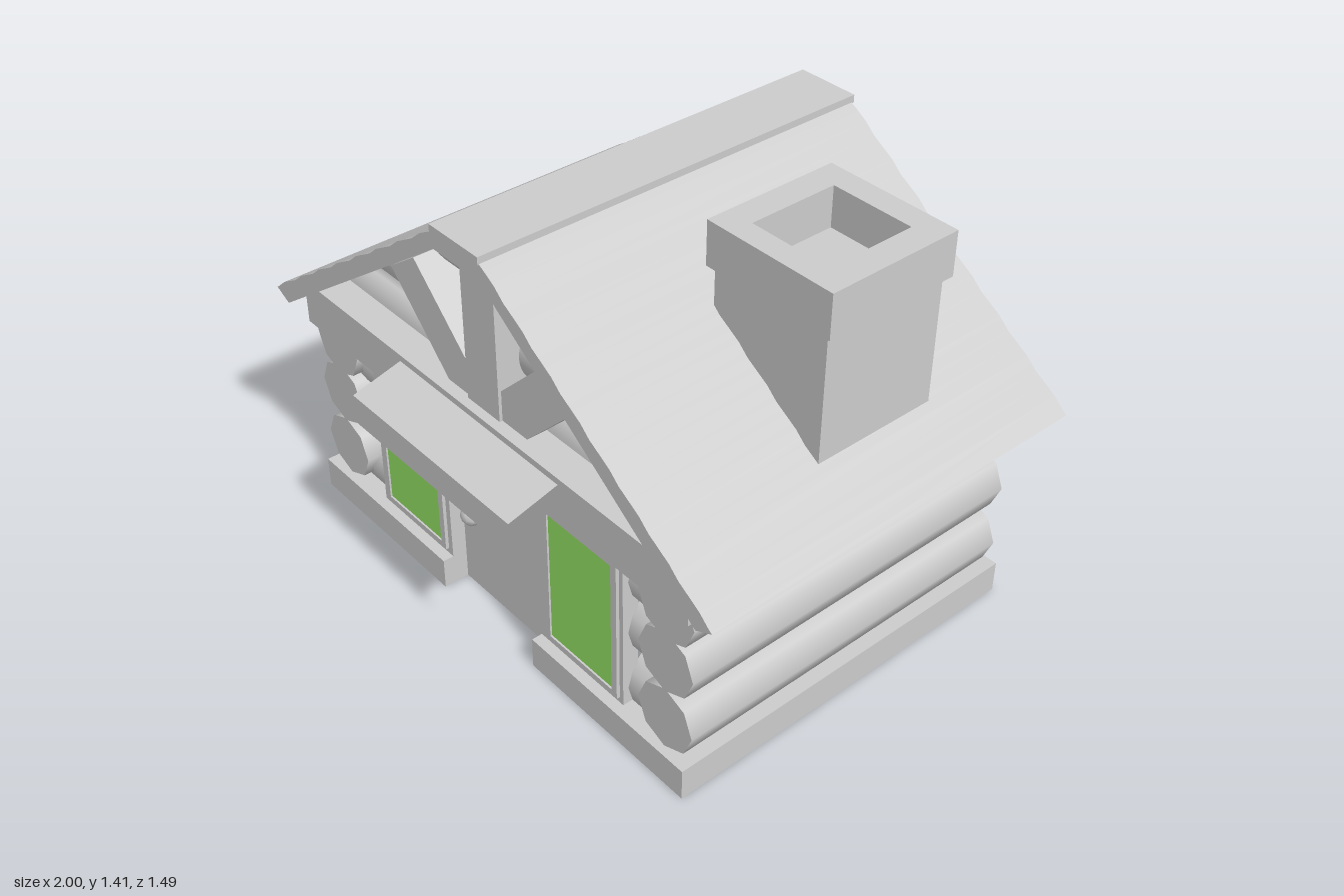
import * as THREE from 'three';
import { toCreasedNormals } from 'three/addons/utils/BufferGeometryUtils.js';

const timber = new THREE.MeshStandardMaterial({ color: 0xcccccc });
timber.name = 'plainGrey';
const timberSheet = timber.clone();
timberSheet.side = THREE.DoubleSide;
timberSheet.name = 'plainGreySheet';
const glass = new THREE.MeshStandardMaterial({ color: 0x9aea67, side: THREE.DoubleSide });
glass.name = 'greenGlass';

// Underside of the roof: half width at a given height
const halfWidthAt = (y) => 0.94 - (y - 0.7) * 1.4;

export function createModel() {
  const group = new THREE.Group();
  group.name = 'logCabin';

  const add = (name, geometry, material = timber) => {
    const mesh = new THREE.Mesh(geometry, material);
    mesh.name = name;
    group.add(mesh);
    return mesh;
  };
  // Box given by its limits
  const box = (name, x0, x1, y0, y1, z0, z1, material) => {
    const mesh = add(name, new THREE.BoxGeometry(x1 - x0, y1 - y0, z1 - z0), material);
    mesh.position.set((x0 + x1) / 2, (y0 + y1) / 2, (z0 + z1) / 2);
    return mesh;
  };
  // Outline in x and y, extruded from z0 to z1
  const prism = (name, points, z0, z1, hole) => {
    const shape = new THREE.Shape(points.map(([x, y]) => new THREE.Vector2(x, y)));
    if (hole) shape.holes.push(new THREE.Path(hole.map(([x, y]) => new THREE.Vector2(x, y))));
    const geometry = new THREE.ExtrudeGeometry(shape, { depth: z1 - z0, bevelEnabled: false });
    geometry.translate(0, 0, z0);
    return add(name, geometry);
  };
  const mirrored = (points) => [...points, ...points.map(([x, y]) => [-x, y]).reverse()];

  // Footing: thin hollow skirt with a ledge on top and a gap for the door
  box('footingBack', -0.875, 0.87, 0, 0.105, -0.7, -0.685);
  box('footingBackLedge', -0.86, 0.855, 0.09, 0.105, -0.685, -0.62);
  for (const s of [-1, 1]) {
    const outer = s < 0 ? 0.875 : 0.87;
    const inner = s < 0 ? 0.225 : 0.215;
    const span = (a, b) => (s < 0 ? [-b, -a] : [a, b]);
    box('footingSide', ...span(outer - 0.015, outer), 0, 0.105, -0.685, 0.56);
    box('footingSideLedge', ...span(0.76, outer - 0.015), 0.09, 0.105, -0.62, 0.45);
    box('footingFront', ...span(inner, outer), 0, 0.105, 0.56, 0.575);
    box('footingFrontLedge', ...span(inner, outer - 0.015), 0.09, 0.105, 0.4, 0.56);
    box('footingDoorReturn', ...span(inner, inner + 0.015), 0, 0.09, 0.4, 0.56);
  }

  // Log walls: full side logs, short front logs set half a course apart
  for (const y of [0.215, 0.425, 0.61]) {
    for (const s of [-1, 1]) {
      const side = add('sideLog', new THREE.CylinderGeometry(0.109, 0.109, 1.21, 8));
      side.rotation.x = Math.PI / 2;
      side.position.set(s * 0.768, y, -0.055);
      const front = add('frontLog', new THREE.CylinderGeometry(0.11, 0.11, 0.19, 12));
      front.rotation.z = Math.PI / 2;
      front.position.set(s * 0.67, y - 0.055, 0.41);
    }
  }

  // Flat back wall reaching up under the roof
  prism('backWall', mirrored([[0.77, 0.1], [0.77, 0.815], [0.1, 1.3]]), -0.66, -0.62);

  // Front gable: stacked logs as one ribbed sheet
  const gable = new THREE.PlaneGeometry(2, 0.5, 1, 40);
  const p = gable.attributes.position;
  for (let i = 0; i < p.count; i++) {
    const y = p.getY(i) + 1.05;
    const t = (((y - 0.68) % 0.2) / 0.2) * 2 - 1;
    p.setXYZ(i, p.getX(i) * (halfWidthAt(y) + 0.02), y, 0.39 + 0.08 * Math.sqrt(Math.max(0, 1 - t * t)));
  }
  gable.computeVertexNormals();
  add('gableLogs', gable, timberSheet);

  // Wall plates and gable truss
  prism('frontBeam', mirrored([[0.88, 0.65], [0.88, 0.742], [0.8, 0.8]]), 0.44, 0.575);
  for (const s of [-1, 1]) {
    const plate = [[0.88, 0.655], [0.88, 0.742], [0.8, 0.79], [0.7, 0.79], [0.7, 0.655]];
    prism('sideBeam', plate.map(([x, y]) => [x * s, y]), -0.68, 0.45);
    const brace = [[0.18, 0.8], [0.435, 1.055], [0.315, 1.14], [0.06, 0.89], [0.06, 0.8]];
    prism('gableBrace', brace.map(([x, y]) => [x * s, y]), 0.42, 0.535);
  }
  box('gablePost', -0.076, 0.07, 0.8, 1.31, 0.42, 0.545);

  // Roof with very shallow shingle courses, shaded smoothly
  const slope = [[0.94, 0.7], [1, 0.73]];
  const courses = 8;
  for (let i = 0; i < courses; i++) {
    for (const [f, lift] of [[0.1, 0], [0.45, 0.006], [0.8, 0.003]]) {
      const t = (i + f) / courses;
      slope.push([1 - 0.9 * t + lift * 0.57, 0.73 + 0.625 * t + lift * 0.82]);
    }
  }
  slope.push([0.1, 1.355]);
  const roofOutline = [...mirrored(slope), [-0.1, 1.3], [0.1, 1.3]];
  const roof = prism('roof', roofOutline, -0.737, 0.606);
  roof.geometry = toCreasedNormals(roof.geometry, 0.4);
  box('ridgeCap', -0.108, 0.104, 1.35, 1.375, -0.746, 0.61);

  // Chimney: stack and hollow cap (cap is built flat, then stood up)
  const rect = (x0, x1, z0, z1) => [[x0, -z1], [x1, -z1], [x1, -z0], [x0, -z0]];
  box('chimneyStack', 0.403, 0.815, 0.8, 1.28, -0.35, 0.07);
  const cap = prism('chimneyCap', rect(0.384, 0.835, -0.365, 0.085), 1.27, 1.41, rect(0.472, 0.748, -0.285, 0.01));
  cap.rotation.x = -Math.PI / 2;

  // Recessed door and knob
  box('door', -0.225, 0.215, 0, 0.66, 0.4, 0.49);
  const knob = add('doorKnob', new THREE.SphereGeometry(0.037, 6, 6));
  knob.rotation.x = Math.PI / 2;
  knob.position.set(-0.152, 0.305, 0.508);

  // Windows: thin stepped frames with glass plates
  for (const [x0, x1, c] of [[-0.588, -0.225, -0.405], [0.215, 0.583, 0.408]]) {
    const ring = (w, y0, y1) => [[c - w, y0], [c + w, y0], [c + w, y1], [c - w, y1]];
    const pane = ring(0.137, 0.145, 0.605);
    prism('windowSurround', [[x0, 0.1], [x1, 0.1], [x1, 0.65], [x0, 0.65]], 0.485, 0.539, pane);
    prism('windowFrame', ring(0.16, 0.125, 0.63), 0.537, 0.55, pane);
    box('windowGlass', c - 0.139, c + 0.139, 0.143, 0.607, 0.537, 0.544, glass);
  }

  // Porch awning: a bent open sheet over the door
  const awning = new THREE.PlaneGeometry(0.73, 1, 1, 2).toNonIndexed();
  const a = awning.attributes.position;
  const bend = { '-0.5': [0.64, 0.74], '0': [0.735, 0.74], '0.5': [0.78, 0.57] };
  for (let i = 0; i < a.count; i++) {
    const [y, z] = bend[String(a.getY(i))];
    a.setXYZ(i, a.getX(i) - 0.003, y, z);
  }
  awning.computeVertexNormals();
  add('awning', awning, timberSheet);

  return group;
}
